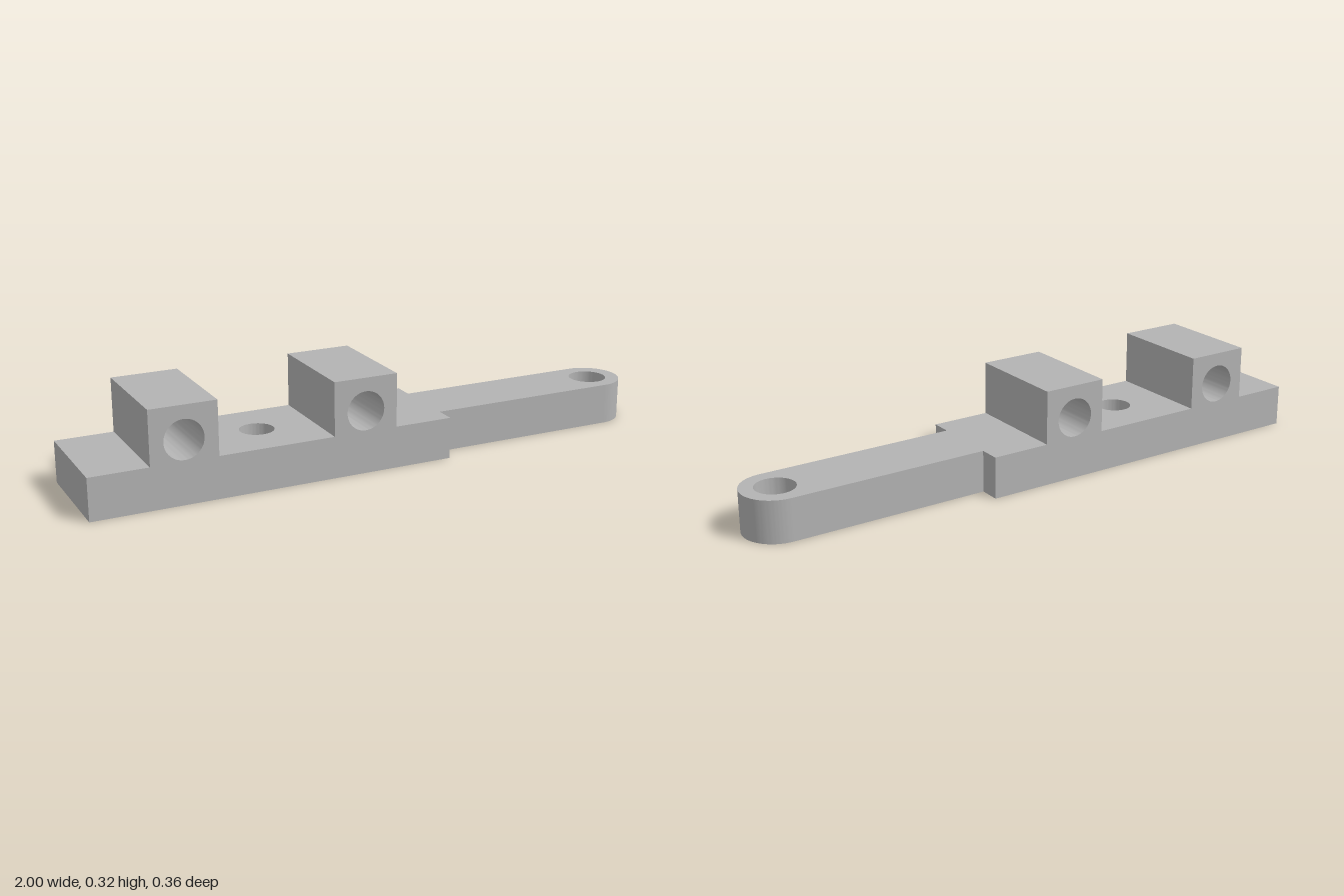
import * as THREE from 'three';
import { toCreasedNormals } from 'three/addons/utils/BufferGeometryUtils.js';

const HALF_DEPTH = 0.181;
const PLATE_TOP = 0.14;

// Circular hole path for a shape
function hole(x, y, r) {
  const path = new THREE.Path();
  path.absarc(x, y, r, 0, Math.PI * 2, true);
  return path;
}

// Straight extrusion with sharp edges and smooth curved walls
function extrude(shape, depth) {
  const geometry = new THREE.ExtrudeGeometry(shape, { depth, bevelEnabled: false, curveSegments: 32 });
  return toCreasedNormals(geometry, Math.PI / 6);
}

export function createModel() {
  const model = new THREE.Group();
  model.name = 'linkBracket';
  const grey = new THREE.MeshStandardMaterial({ color: 0xb3b3b3 });
  grey.name = 'grey';

  // Wide plate narrowing to a round-ended arm, with two vertical holes
  const armRadius = 0.111;
  const armCentre = 1 - armRadius;
  const outline = new THREE.Shape();
  outline.moveTo(-1, -HALF_DEPTH);
  outline.lineTo(0.22, -HALF_DEPTH);
  outline.lineTo(0.22, -armRadius);
  outline.lineTo(armCentre, -armRadius);
  outline.absarc(armCentre, 0, armRadius, -Math.PI / 2, Math.PI / 2, false);
  outline.lineTo(0.22, armRadius);
  outline.lineTo(0.22, HALF_DEPTH);
  outline.lineTo(-1, HALF_DEPTH);
  outline.closePath();
  outline.holes.push(hole(-0.39, 0, 0.057), hole(armCentre, 0, 0.065));
  const plate = new THREE.Mesh(extrude(outline, PLATE_TOP).rotateX(-Math.PI / 2), grey);
  plate.name = 'basePlateAndArm';
  model.add(plate);

  // Two upright lugs bored from front to back
  const lugShape = new THREE.Shape();
  lugShape.moveTo(-0.11, PLATE_TOP);
  lugShape.lineTo(0.11, PLATE_TOP);
  lugShape.lineTo(0.11, 0.32);
  lugShape.lineTo(-0.11, 0.32);
  lugShape.closePath();
  lugShape.holes.push(hole(0, 0.21, 0.065));
  const lugGeometry = extrude(lugShape, HALF_DEPTH * 2).translate(0, 0, -HALF_DEPTH);
  [['endLug', -0.697], ['middleLug', -0.089]].forEach(([name, x]) => {
    const lug = new THREE.Mesh(lugGeometry, grey);
    lug.name = name;
    lug.position.x = x;
    model.add(lug);
  });

  return model;
}
